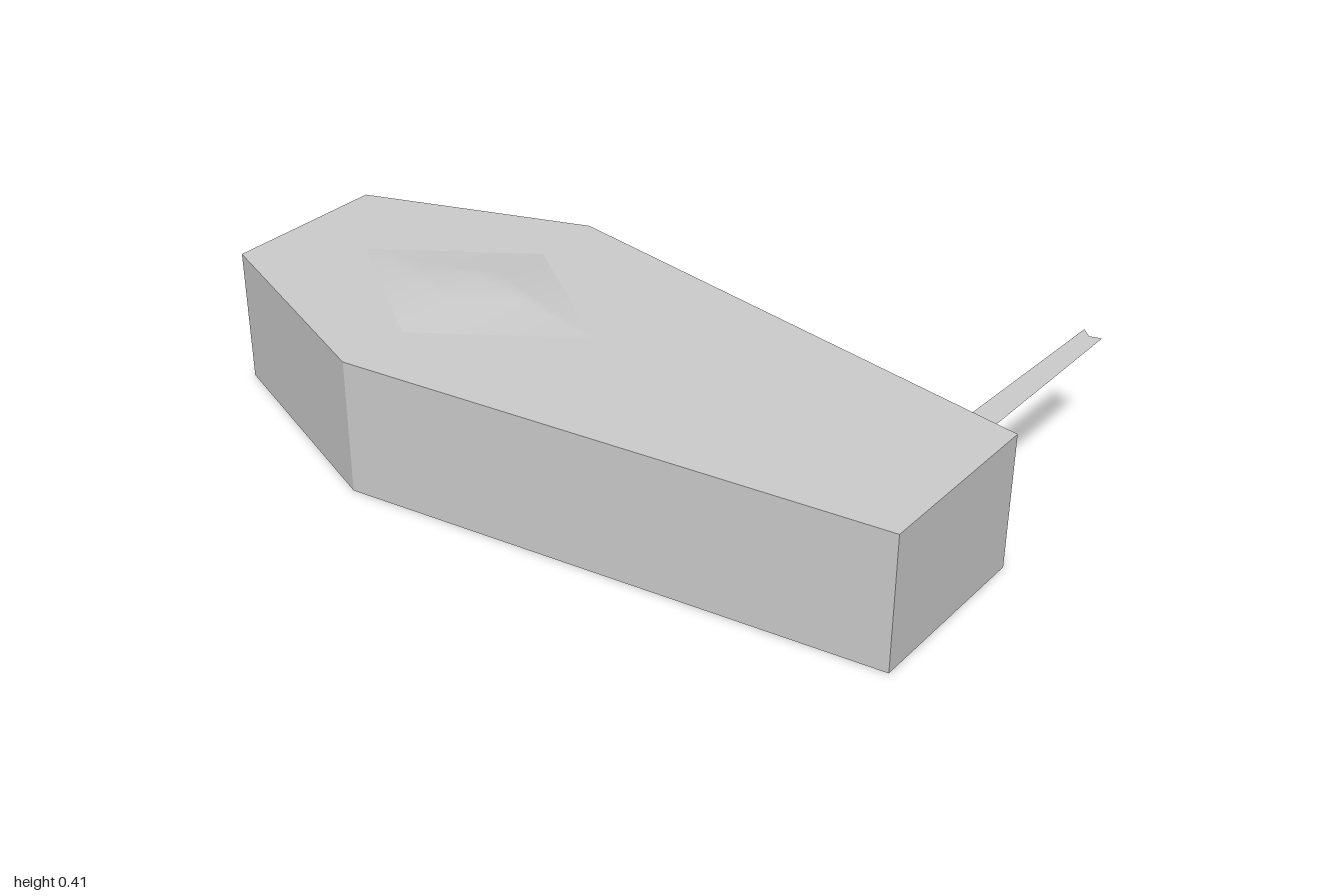
import * as THREE from 'three';

const material = new THREE.MeshStandardMaterial({ color: 0xcccccc });
const thinMaterial = new THREE.MeshStandardMaterial({ color: 0xcccccc, side: THREE.DoubleSide });
const TOP = 0.362;

// Shape from [x, z] points, to be laid flat with rotateX(-90 degrees)
function planShape(points) {
  return new THREE.Shape(points.map(([x, z]) => new THREE.Vector2(x, -z)));
}

function addPart(group, name, geometry, mat = material) {
  const mesh = new THREE.Mesh(geometry, mat);
  mesh.name = name;
  group.add(mesh);
  return mesh;
}

// Low four-cornered mound: diamond rings rising to an apex, smooth shaded
function moundGeometry(rings, apexHeight) {
  const positions = [];
  const index = [];
  for (const { x, z, yx, yz } of rings) {
    positions.push(x, yx, 0, 0, yz, -z, -x, yx, 0, 0, yz, z);
  }
  positions.push(0, apexHeight, 0);
  const apex = rings.length * 4;
  for (let r = 0; r < rings.length; r++) {
    for (let i = 0; i < 4; i++) {
      const a = r * 4 + i;
      const b = r * 4 + (i + 1) % 4;
      if (r === rings.length - 1) index.push(a, b, apex);
      else index.push(a, b, b + 4, a, b + 4, a + 4);
    }
  }
  const geometry = new THREE.BufferGeometry();
  geometry.setAttribute('position', new THREE.Float32BufferAttribute(positions, 3));
  geometry.setIndex(index);
  geometry.computeVertexNormals();
  return geometry;
}

export function createModel() {
  const group = new THREE.Group();
  group.name = 'coffin';

  // Six-sided tapering box
  const outline = [[-1, 0.39], [-0.4, 0.62], [1, 0.41], [1, -0.08], [-0.4, -0.29], [-1, -0.06]];
  const body = new THREE.ExtrudeGeometry(planShape(outline), { depth: TOP, bevelEnabled: false });
  addPart(group, 'body', body.rotateX(-Math.PI / 2));

  // Raised diamond on the lid
  const mound = moundGeometry([
    { x: 0.38, z: 0.26, yx: 0, yz: 0 },
    { x: 0.16, z: 0.09, yx: 0.029, yz: 0.019 },
  ], 0.043);
  addPart(group, 'lidDiamond', mound).position.set(-0.39, TOP, 0.17);

  // Flat ribbon with a notched end, reaching out behind the narrow end
  const ribbon = planShape([[0.86, -0.05], [0.93, -0.05], [0.935, -0.61], [0.905, -0.6], [0.88, -0.625]]);
  addPart(group, 'ribbon', new THREE.ShapeGeometry(ribbon).rotateX(-Math.PI / 2), thinMaterial).position.y = 0.346;

  return group;
}
